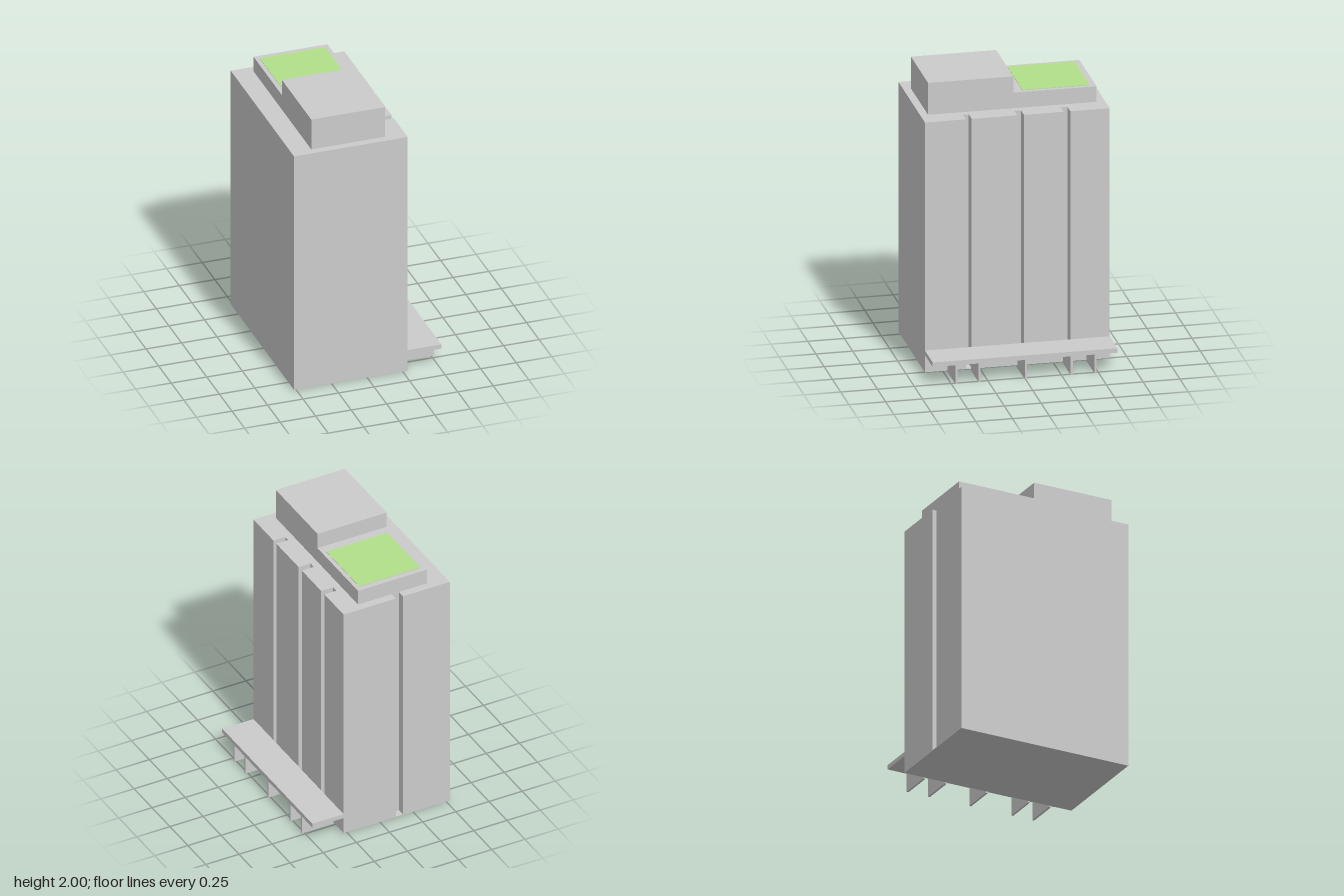
import * as THREE from 'three';

const grey = new THREE.MeshStandardMaterial({ color: 0xcccccc, flatShading: true });
const green = new THREE.MeshStandardMaterial({ color: 0xb2e08a });

export function createModel() {
  const model = new THREE.Group();

  // Box given by its lower and upper limits on each axis
  const box = (name, [x0, x1], [y0, y1], [z0, z1], material = grey) => {
    const mesh = new THREE.Mesh(new THREE.BoxGeometry(x1 - x0, y1 - y0, z1 - z0), material);
    mesh.position.set((x0 + x1) / 2, (y0 + y1) / 2, (z0 + z1) / 2);
    mesh.name = name;
    model.add(mesh);
  };

  const left = -0.52, right = 0.28, depth = 0.628;
  const bottom = 0.01, roof = 1.775, outer = 0.516;

  // Tower plan (x, -z) with three slots in the side and one in the back
  const plan = [[left, -depth], [right, -depth]];
  for (const [z0, z1] of [[0.35, 0.31], [0, -0.045], [-0.315, -0.36]]) {
    plan.push([right, -z0], [0.19, -z0], [0.19, -z1], [right, -z1]);
  }
  plan.push([right, depth], [-0.113, depth], [-0.113, 0.572], [-0.167, 0.572], [-0.167, depth], [left, depth]);
  const shape = new THREE.Shape(plan.map(([x, y]) => new THREE.Vector2(x, y)));
  const slab = 0.004;
  const geometry = new THREE.ExtrudeGeometry(shape, { depth: roof - bottom - slab, bevelEnabled: false });
  geometry.rotateX(-Math.PI / 2);
  const tower = new THREE.Mesh(geometry, grey);
  tower.position.y = bottom + slab;
  tower.name = 'tower';
  model.add(tower);

  // Floor slab closing the slots underneath
  box('baseSlab', [left, right], [bottom, bottom + slab], [-depth, depth]);

  // Rooftop blocks and roof garden
  box('upperRoofBlock', [-0.38, 0.14], [roof, 2], [-0.005, 0.575]);
  box('lowerRoofBlock', [-0.38, 0.14], [roof, 1.885], [-0.57, -0.005]);
  box('roofGarden', [-0.35, 0.11], [1.885, 1.888], [-0.53, -0.073], green);

  // Entrance canopy on thin fins
  box('canopy', [right, outer], [0.132, 0.164], [-depth, depth]);
  for (const z of [0.467, 0.309, -0.007, -0.317, -0.478]) {
    box('canopyFin', [right, outer], [0, 0.132], [z - 0.007, z + 0.007]);
  }

  return model;
}
